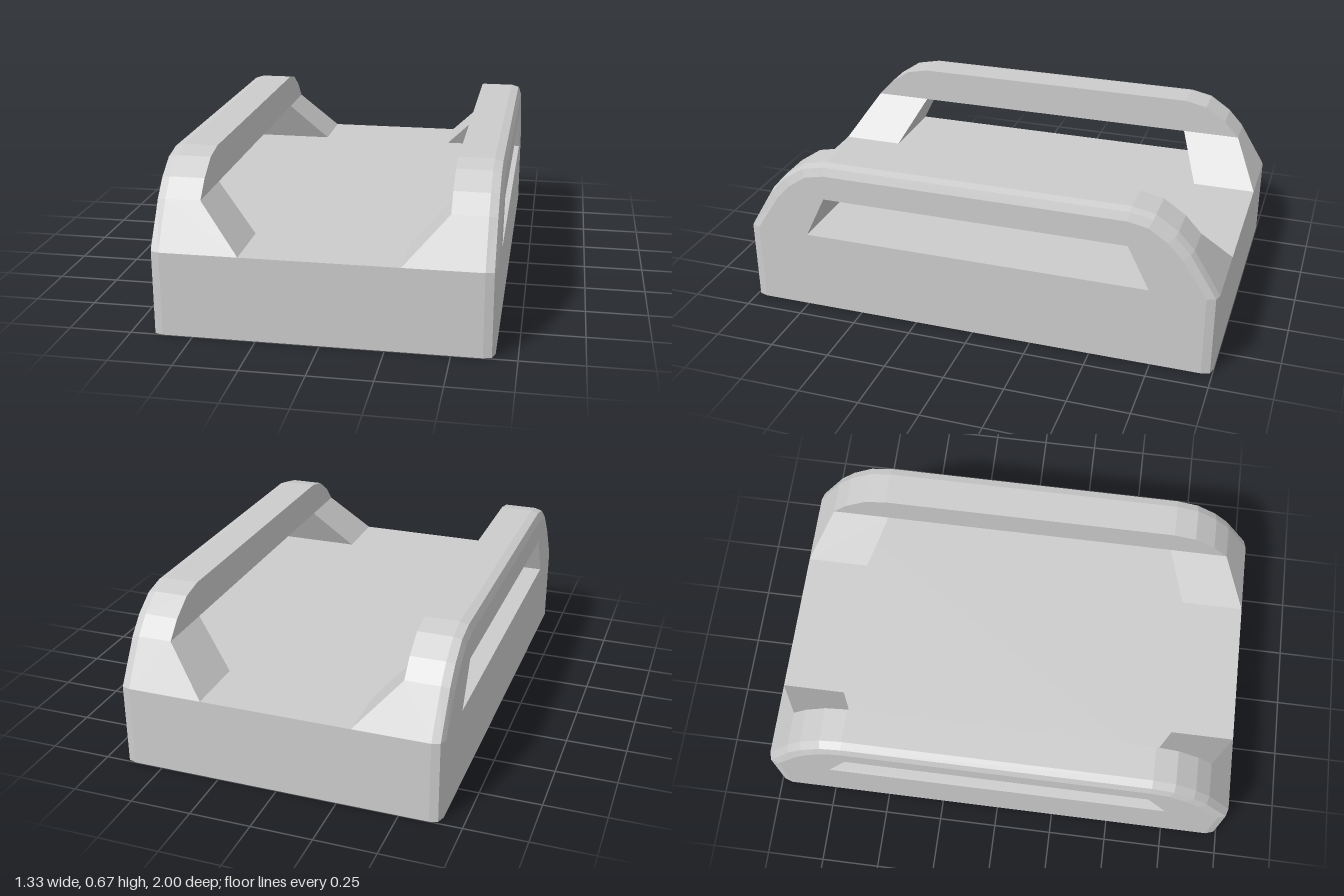
import * as THREE from 'three';

const HALF_WIDTH = 0.665, DECK = 0.34;

// Rounded outer edge: [x, inset], shared by the base corners and the rails
const EDGE = [[0.62, 0], [0.653, 0.01], [HALF_WIDTH, 0.045]];

// Front half of the rail outline: [z, y, inward z, inward y] and its window
const OUTLINE = [
  [1, DECK, -1, 0],
  [0.89, 0.52, -0.83, -0.56],
  [0.825, 0.59, -0.68, -0.74],
  [0.735, 0.65, -0.4, -0.92],
  [0.64, 0.67, -0.1, -1],
];
const WINDOW = [[0.73, DECK], [0.64, 0.52], [0.64, 0.52], [0.64, 0.52], [0.64, 0.52]];

// Inner face leans outward up to the grip, then stands upright
const innerX = (y) => 0.31 + 0.17 * Math.min((y - DECK) / 0.18, 1);

function baseGeometry() {
  const quarter = EDGE.map(([x, inset]) => [x, 1 - inset]);
  const back = [...quarter].reverse();
  const points = [
    ...back,
    ...quarter.map(([x, z]) => [-x, z]),
    ...back.map(([x, z]) => [-x, -z]),
    ...quarter.map(([x, z]) => [x, -z]),
  ].map(([x, z]) => new THREE.Vector2(x, z));
  // order: +x side, round the front left corner, on to the far side
  const ordered = [...points.slice(0, 3), ...quarter.map(([x, z]) => new THREE.Vector2(-x, z)),
    ...back.map(([x, z]) => new THREE.Vector2(-x, -z)), ...points.slice(9)];
  const geometry = new THREE.ExtrudeGeometry(new THREE.Shape(ordered), { depth: DECK, bevelEnabled: false });
  return geometry.rotateX(-Math.PI / 2);
}

// Closed cross-section of the rail at outline point i; end is +1 front, -1 back
function railSection(i, end, side) {
  const [z, y, dz, dy] = OUTLINE[i];
  const [wz, wy] = WINDOW[i];
  return [
    [innerX(y), y, z],
    ...EDGE.map(([x, inset]) => [x, y + dy * inset, z + dz * inset]),
    [HALF_WIDTH, wy, wz],
    [innerX(wy), wy, wz],
  ].map(([px, py, pz]) => new THREE.Vector3(px * side, py, pz * end));
}

// Join the sections from front foot to back foot
function railGeometry(side) {
  const steps = OUTLINE.map((_, i) => i);
  const sections = [
    ...steps.map((i) => railSection(i, 1, side)),
    ...steps.reverse().map((i) => railSection(i, -1, side)),
  ];
  const corners = [];
  const addTriangle = (a, b, c) => {
    if (new THREE.Triangle(a, b, c).getArea() < 1e-7) return;
    corners.push(...(side > 0 ? [a, b, c] : [a, c, b]));
  };
  for (let i = 0; i < sections.length - 1; i++) {
    const here = sections[i], next = sections[i + 1];
    for (let j = 0; j < here.length; j++) {
      const k = (j + 1) % here.length;
      addTriangle(here[j], here[k], next[k]);
      addTriangle(here[j], next[k], next[j]);
    }
  }
  const geometry = new THREE.BufferGeometry().setFromPoints(corners);
  geometry.computeVertexNormals();
  return geometry;
}

export function createModel() {
  const group = new THREE.Group();
  const material = new THREE.MeshStandardMaterial({ color: 0xcccccc, flatShading: true });
  const add = (name, geometry) => {
    const mesh = new THREE.Mesh(geometry, material);
    mesh.name = name;
    group.add(mesh);
  };

  add('base', baseGeometry());
  add('leftHandleRail', railGeometry(1));
  add('rightHandleRail', railGeometry(-1));
  return group;
}
